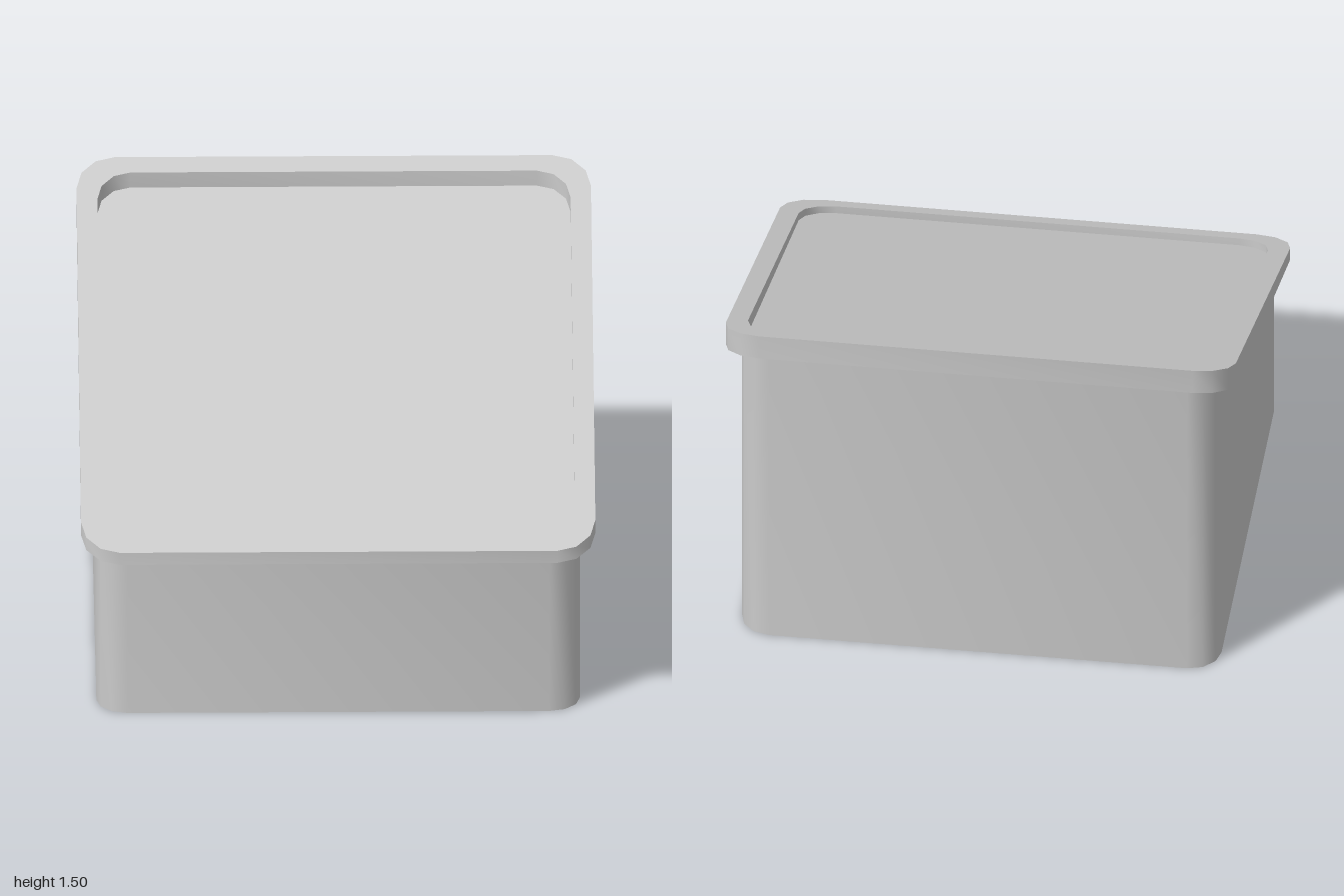
import * as THREE from 'three';
import { toCreasedNormals } from 'three/addons/utils/BufferGeometryUtils.js';

const grey = new THREE.MeshStandardMaterial({ color: 0xcccccc });

// Height of the sloping top above a given depth.
const slope = (z) => 1.11 - 0.406 * z;

// Points of a rounded rectangle with half sizes hx, hz and three facets per corner.
function outline(hx, hz, r, steps = 3) {
  const points = [];
  [[1, 1], [-1, 1], [-1, -1], [1, -1]].forEach(([sx, sz], corner) => {
    for (let i = 0; i <= steps; i++) {
      const a = (corner + i / steps) * Math.PI / 2;
      points.push(new THREE.Vector2(
        sx * (hx - r) + r * Math.cos(a),
        sz * (hz - r) + r * Math.sin(a)));
    }
  });
  return points;
}

// Upright prism whose bottom and top lie at fractions of the sloping height.
function slantedPrism(name, points, from, to, hole) {
  const shape = new THREE.Shape(points);
  if (hole) shape.holes.push(new THREE.Path(hole));
  const geometry = new THREE.ExtrudeGeometry(shape, { depth: 1, bevelEnabled: false });
  geometry.rotateX(-Math.PI / 2);
  const p = geometry.attributes.position;
  for (let i = 0; i < p.count; i++) {
    p.setY(i, slope(p.getZ(i)) * (from + (to - from) * p.getY(i)));
  }
  geometry.computeVertexNormals();
  const mesh = new THREE.Mesh(toCreasedNormals(geometry, THREE.MathUtils.degToRad(40)), grey);
  mesh.name = name;
  return mesh;
}

export function createModel() {
  const group = new THREE.Group();
  group.name = 'slopedBox';
  const opening = outline(0.92, 0.885, 0.13);

  group.add(
    // Wedge-shaped body
    slantedPrism('body', outline(0.94, 0.9, 0.12), 0, 0.928),
    // Overhanging frame around the sloping face
    slantedPrism('rim', outline(1, 0.96, 0.15), 0.928, 1, opening),
    // Sunken panel inside the frame
    slantedPrism('panel', opening, 0.928, 0.956),
  );
  return group;
}
